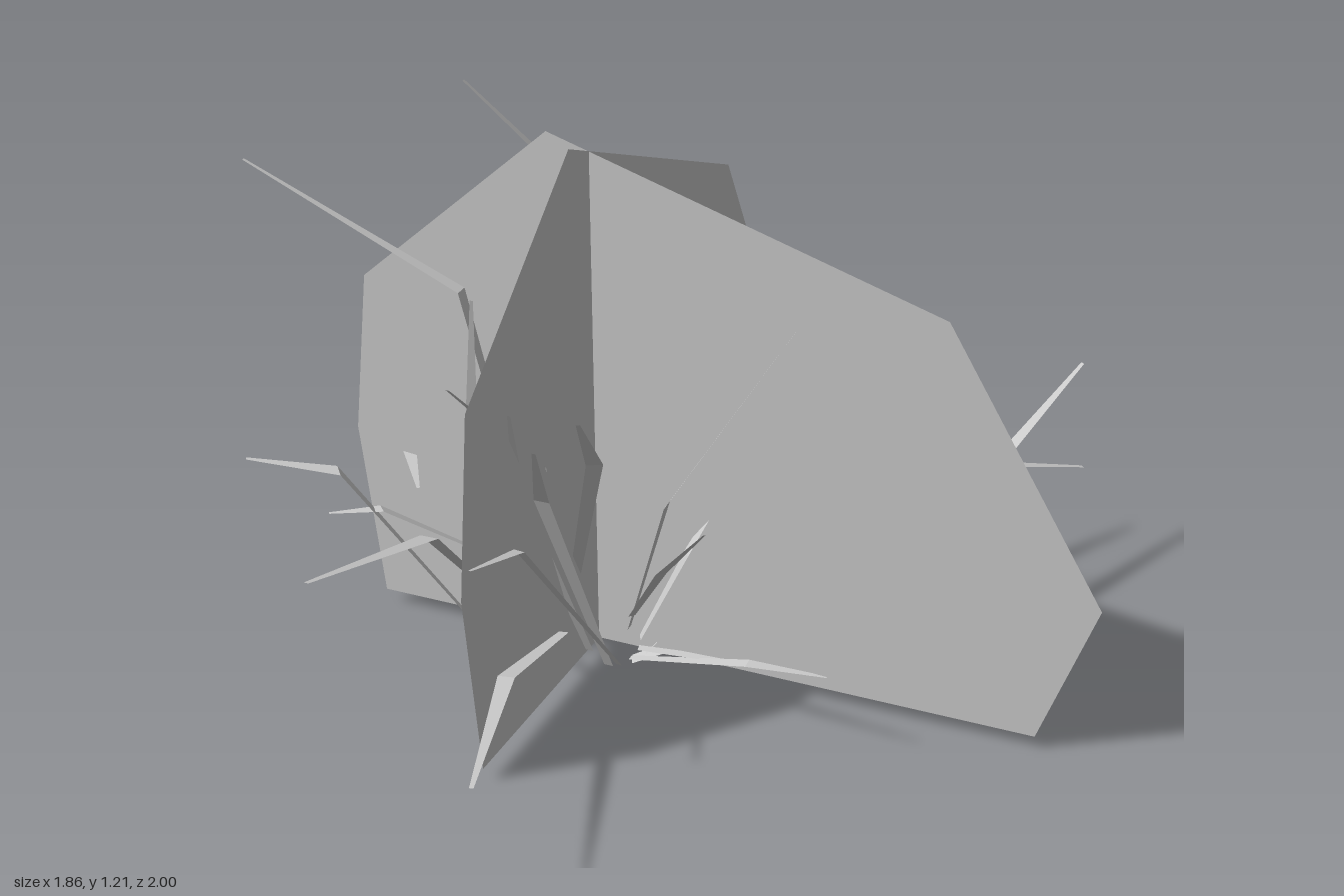
import * as THREE from 'three';

const grey = new THREE.MeshStandardMaterial({ color: 0xcccccc, side: THREE.DoubleSide });
grey.name = 'pale grey';

// Flat upright card from an outline of [horizontal, y] points
function card(name, outline) {
  const shape = new THREE.Shape(outline.map(([u, y]) => new THREE.Vector2(u, y)));
  const mesh = new THREE.Mesh(new THREE.ShapeGeometry(shape), grey);
  mesh.name = name;
  return mesh;
}

// Bent ribbon through base, bend and tip; narrow at the ends, widest at the bend
function blade(points, width) {
  const p = points.map((a) => new THREE.Vector3(...a));
  const run = p[2].clone().sub(p[0]);
  const side = new THREE.Vector3(-run.z, 0, run.x).normalize();
  const half = [0.3, 0.5, 0.12].map((k) => k * width);
  const pos = [];
  const edge = (i, s) => p[i].clone().addScaledVector(side, s * half[i]);
  for (let i = 0; i < 2; i++) {
    const a = edge(i, -1), b = edge(i, 1), c = edge(i + 1, 1), d = edge(i + 1, -1);
    for (const v of [a, b, c, a, c, d]) pos.push(v.x, v.y, v.z);
  }
  const g = new THREE.BufferGeometry();
  g.setAttribute('position', new THREE.Float32BufferAttribute(pos, 3));
  g.computeVertexNormals();
  return new THREE.Mesh(g, grey);
}

// Blades by quarter: [base, bend, tip, width]
const frontLeft = [
  [[-0.03, 0.2, 0.23], [0.08, 0.54, 0.28], [0.32, 0.93, 0.2], 0.04],
  [[-0.01, 0.25, 0.26], [0.11, 0.44, 0.38], [0.26, 0.63, 0.52], 0.025],
  [[-0.15, 0.2, 0.3], [-0.12, 0.28, 0.61], [0, 0.29, 0.97], 0.035],
  [[-0.07, 0.08, 0.2], [-0.14, 0.5, 0.5], [-0.12, 0.58, 0.73], 0.025],
  [[-0.09, 0.08, 0.21], [-0.14, 0.56, 0.4], [-0.09, 0.73, 0.52], 0.035],
  [[-0.2, 0.2, 0.16], [-0.06, 0.62, 0.32], [-0.04, 0.76, 0.43], 0.035],
  [[-0.08, 0.05, 0.12], [0.2, 0.11, 0.13], [0.37, 0.1, 0.1], 0.03],
];
const frontRight = [
  [[-0.31, 0.3, 0.13], [-0.46, 0.86, 0.12], [-0.93, 1.11, 0.19], 0.035],
  [[-0.34, 0.05, 0.22], [-0.55, 0.59, 0.49], [-0.73, 0.61, 0.55], 0.045],
  [[-0.35, 0.31, 0.24], [-0.5, 0.48, 0.42], [-0.59, 0.48, 0.48], 0.03],
  [[-0.71, 0.44, 0.05], [-0.63, 0.44, 0.09], [-0.54, 0.42, 0.21], 0.03],
  [[-0.31, 0.2, 0.25], [-0.33, 0.5, 0.52], [-0.29, 0.66, 1], 0.04],
  [[-0.3, 0.28, 0.22], [-0.36, 0.62, 0.28], [-0.3, 0.95, 0.36], 0.03],
  [[-0.24, 0.1, 0.16], [-0.18, 0.6, 0.33], [-0.27, 0.83, 0.52], 0.035],
  [[-0.14, 0.1, 0.2], [-0.2, 0.55, 0.38], [-0.14, 0.8, 0.52], 0.03],
  [[-0.28, 0.2, 0.18], [-0.33, 0.45, 0.3], [-0.24, 0.62, 0.5], 0.035],
];
const backLeft = [
  [[-0.08, 0.04, 0.11], [0.24, 0.17, -0.03], [0.82, 0.05, -0.26], 0.06],
  [[-0.06, 0.08, 0.12], [0.5, 0.1, 0.07], [0.62, 0.07, -0.04], 0.035],
  [[-0.08, 0.2, -0.15], [0.42, 0.39, -0.4], [0.7, 0.24, -0.82], 0.045],
  [[0, 0.22, 0], [0.55, 0.38, -0.27], [0.69, 0.54, -0.75], 0.045],
  [[-0.1, 0.15, -0.12], [0.13, 0.45, -0.4], [0.15, 0.52, -0.64], 0.045],
  [[0.04, 0.1, -0.06], [0.33, 0.4, -0.19], [0.37, 0.57, -0.32], 0.035],
  [[-0.02, 0.12, -0.15], [0.08, 0.26, -0.25], [0.02, 0.27, -0.37], 0.035],
  [[-0.09, 0.1, -0.12], [0.05, 0.38, -0.24], [0.1, 0.61, -0.36], 0.035],
  [[-0.12, 0.06, -0.02], [0.21, 0.4, -0.05], [0.45, 0.7, -0.11], 0.035],
  [[-0.07, 0.1, -0.1], [0.14, 0.5, -0.22], [0.33, 0.73, -0.24], 0.035],
  [[-0.05, 0.06, 0.1], [0.15, 0.33, 0.03], [0.47, 0.58, -0.06], 0.035],
  [[-0.06, 0.1, 0.11], [0.06, 0.35, 0.13], [0.16, 0.58, -0.01], 0.04],
  [[0.15, 0.15, -0.17], [0.32, 0.4, -0.26], [0.52, 0.6, -0.34], 0.02],
];
const backRight = [
  [[-0.1, 0.4, -0.17], [-0.2, 0.83, -0.28], [-0.55, 1.25, -0.09], 0.045],
  [[-0.12, 0.12, -0.16], [-0.14, 0.7, -0.36], [-0.35, 0.68, -0.67], 0.055],
  [[-0.28, 0.38, 0.06], [-0.28, 0.6, -0.01], [-0.36, 0.94, -0.19], 0.025],
];

export function createModel() {
  const model = new THREE.Group();
  model.name = 'grassClump';

  // Two crossed upright cards
  const wide = card('wideCard', [[-0.71, 0.07], [0.82, 0.07], [0.93, 0.39], [0.59, 0.95],
    [-0.26, 1.225], [-0.71, 0.85], [-0.755, 0.48]]);
  wide.position.z = 0.1;
  const deep = card('deepCard', [[-0.64, 0.07], [0.885, 0.07], [1, 0.39], [0.65, 0.945],
    [-0.19, 1.225], [-0.64, 0.85], [-0.69, 0.48]]);
  deep.rotation.y = Math.PI / 2;
  deep.position.x = -0.165;
  model.add(wide, deep);

  // Grass blades in the four quarters between the cards
  for (const [name, list] of Object.entries({ frontLeft, frontRight, backLeft, backRight })) {
    const group = new THREE.Group();
    group.name = name + 'Blades';
    list.forEach(([base, bend, tip, width], i) => {
      const mesh = blade([base, bend, tip], width);
      mesh.name = `${name}Blade${i + 1}`;
      group.add(mesh);
    });
    model.add(group);
  }
  return model;
}
